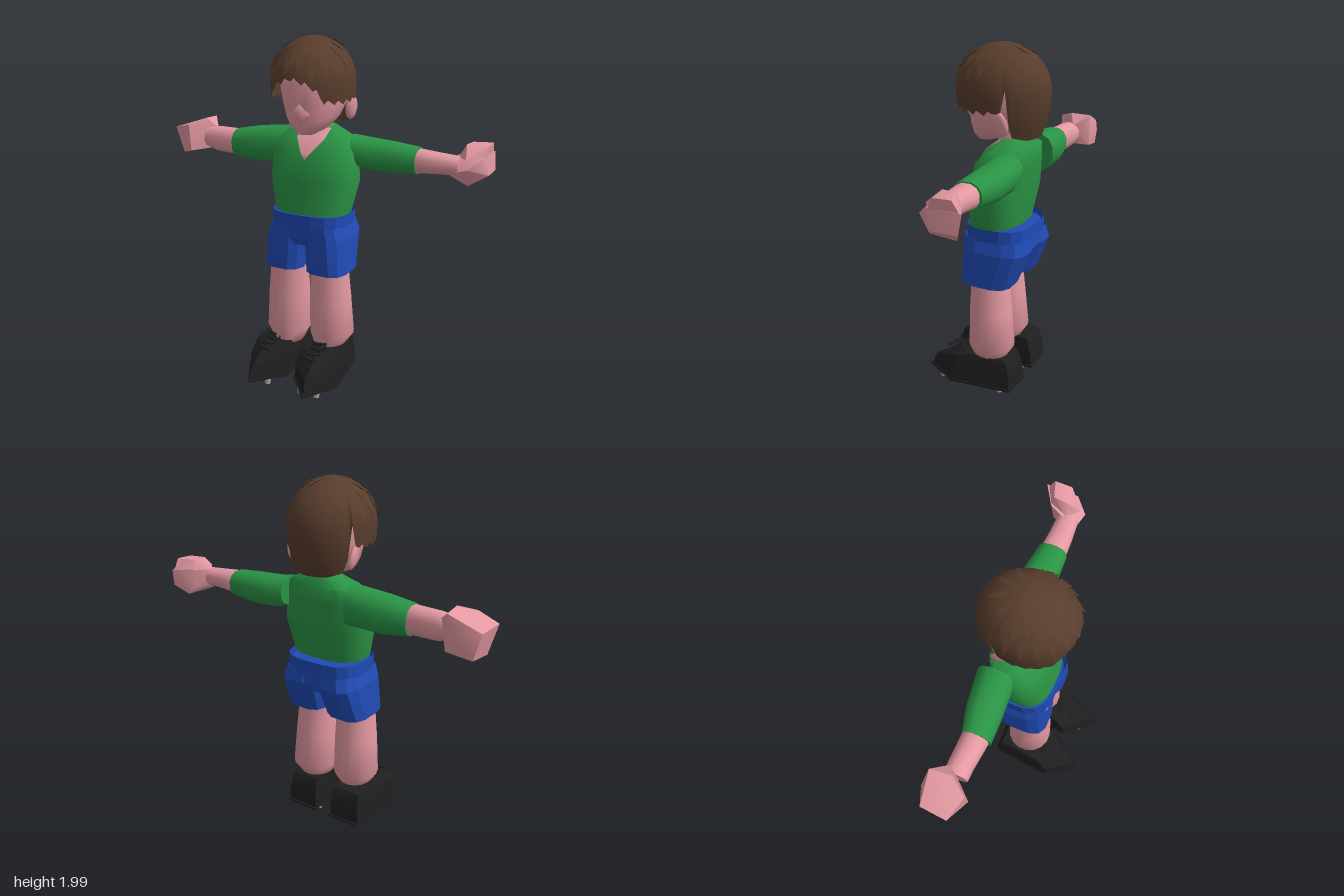
import * as THREE from 'three';
import { toCreasedNormals } from 'three/addons/utils/BufferGeometryUtils.js';
import { ConvexGeometry } from 'three/addons/geometries/ConvexGeometry.js';

const V = (x, y, z) => new THREE.Vector3(x, y, z);
const lerp = THREE.MathUtils.lerp;

function material(name, color) {
  const m = new THREE.MeshStandardMaterial({ color, side: THREE.DoubleSide });
  m.name = name;
  return m;
}

// Skins a list of closed rings of equal point count
function loft(rings, { crease = 1, bottom = true, top = true } = {}) {
  const n = rings[0].length, pos = [], idx = [];
  rings.forEach(r => r.forEach(p => pos.push(p.x, p.y, p.z)));
  for (let i = 0; i < rings.length - 1; i++) {
    for (let j = 0; j < n; j++) {
      const a = i * n + j, b = i * n + (j + 1) % n;
      idx.push(a, a + n, b, b, a + n, b + n);
    }
  }
  const cap = (row, flip) => {
    const c = V(0, 0, 0);
    rings[row].forEach(p => c.addScaledVector(p, 1 / n));
    const ci = pos.length / 3;
    pos.push(c.x, c.y, c.z);
    for (let j = 0; j < n; j++) {
      const a = row * n + j, b = row * n + (j + 1) % n;
      idx.push(ci, flip ? b : a, flip ? a : b);
    }
  };
  if (bottom) cap(0, false);
  if (top) cap(rings.length - 1, true);
  const g = new THREE.BufferGeometry();
  g.setAttribute('position', new THREE.Float32BufferAttribute(pos, 3));
  g.setIndex(idx);
  return toCreasedNormals(g, crease);
}

// Superellipse between two ranges, as pairs of coordinates
function oval(a0, a1, b0, b1, n, e) {
  const pw = v => Math.sign(v) * Math.abs(v) ** (2 / e);
  return Array.from({ length: n }, (_, j) => {
    const t = ((j + 0.5) / n) * Math.PI * 2;
    return [(a0 + a1) / 2 + (a1 - a0) / 2 * pw(Math.cos(t)), (b0 + b1) / 2 + (b1 - b0) / 2 * pw(Math.sin(t))];
  });
}
// Rows are [y, x0, x1, z0, z1]
const upright = (rows, n, e, opt) =>
  loft(rows.map(([y, ...r]) => oval(...r, n, e).map(([x, z]) => V(x, y, z))), opt);
// Rows are [x, z0, z1, y0, y1], in ascending x
const sideways = (rows, n, e, opt) =>
  loft(rows.map(([x, ...r]) => oval(...r, n, e).map(([z, y]) => V(x, y, z))), opt);
// Softly shaded convex lump through a few points
const lump = (pts, crease = 0.8) => toCreasedNormals(new ConvexGeometry(pts.map(p => V(...p))), crease);

// Piecewise linear lookup in rows keyed by their first number
function lookup(rows, t) {
  let i = 0;
  while (i < rows.length - 2 && t > rows[i + 1][0]) i++;
  const a = rows[i], b = rows[i + 1], k = (t - a[0]) / (b[0] - a[0]);
  return a.map((v, c) => lerp(v, b[c], k));
}

export function createModel() {
  const root = new THREE.Group();
  const skin = material('skin', 0xe499a2), green = material('shirt green', 0x2a9445);
  const blue = material('shorts blue', 0x204bb5), brown = material('hair brown', 0x583d2c);
  const black = material('shoe black', 0x1f1f1f), grey = material('stud grey', 0xb4b4b4);
  const add = (name, geo, mat, parent = root) => {
    const m = new THREE.Mesh(geo, mat);
    m.name = name;
    parent.add(m);
    return m;
  };

  // Shirt body
  const torso = [
    [1.02, -0.205, 0.235, -0.21, 0.085], [1.2, -0.25, 0.275, -0.24, 0.065],
    [1.36, -0.24, 0.255, -0.25, 0.045], [1.44, -0.2, 0.215, -0.255, -0.02],
    [1.5, -0.08, 0.1, -0.21, -0.1],
  ];
  add('shirt', upright(torso, 24, 2.6, { crease: 0.9 }), green);

  // Open V of the collar, laid over the chest
  const vRows = [1.33, 1.36, 1.4, 1.44, 1.49].map(y => {
    const [, x0, x1, z0, z1] = lookup(torso, y);
    const half = 0.085 * Math.min(1, (y - 1.327) / 0.11);
    return [-1, 0, 1].map(s => {
      const x = 0.02 + s * half, d = Math.abs((x - (x0 + x1) / 2) / ((x1 - x0) / 2));
      const z = (z0 + z1) / 2 + (z1 - z0) / 2 * (1 - Math.min(1, d) ** 2.6) ** (1 / 2.6);
      return V(x, y, z + 0.008);
    });
  });
  const vPos = vRows.flat().flatMap(p => [p.x, p.y, p.z]), vIdx = [];
  for (let i = 0; i < 4; i++) for (let j = 0; j < 2; j++) {
    const a = i * 3 + j;
    vIdx.push(a, a + 1, a + 3, a + 1, a + 4, a + 3);
  }
  const vGeo = new THREE.BufferGeometry();
  vGeo.setAttribute('position', new THREE.Float32BufferAttribute(vPos, 3));
  vGeo.setIndex(vIdx);
  vGeo.computeVertexNormals();
  add('collarOpening', vGeo, skin);

  // Neck and head
  add('neck', upright([[1.42, -0.075, 0.1, -0.21, -0.05], [1.56, -0.06, 0.085, -0.2, -0.04]], 12, 2), skin);
  const head = new THREE.Group();
  head.name = 'head';
  root.add(head);
  add('face', upright([
    [1.47, -0.03, 0.06, -0.02, 0.07], [1.505, -0.085, 0.115, -0.13, 0.09], [1.56, -0.125, 0.155, -0.21, 0.1],
    [1.64, -0.155, 0.185, -0.26, 0.105], [1.74, -0.175, 0.195, -0.28, 0.11],
    [1.86, -0.16, 0.18, -0.26, 0.08], [1.94, -0.08, 0.1, -0.18, 0],
  ], 20, 2.3), skin, head);
  add('nose', lump([
    [0.015, 1.61, 0.15], [-0.05, 1.585, 0.085], [0.08, 1.585, 0.085], [0.015, 1.53, 0.09], [0.015, 1.65, 0.09],
  ], 3), skin, head);
  for (const s of [-1, 1]) {
    const ear = add('ear', new THREE.SphereGeometry(1, 10, 8), skin, head);
    ear.scale.set(0.02, 0.07, 0.048);
    ear.position.set(0.012 + s * 0.192, 1.605, -0.145);
    ear.rotation.set(0.3, s * -0.25, s * -0.12);
  }

  // Hair shell: the hem height depends on the angle away from the front
  const hem = [[0, 1.77], [0.35, 1.745], [0.6, 1.71], [0.75, 1.65], [1.2, 1.64], [1.75, 1.645], [1.95, 1.67],
    [2.02, 1.8], [2.12, 1.53], [2.6, 1.505], [3.15, 1.505]];
  const onHair = (a, phi, lift = 0) => V(
    0.01 + (0.228 + lift) * Math.sin(phi) * Math.cos(a),
    1.74 + ((phi < Math.PI / 2 ? 0.25 : 0.4) + lift) * Math.cos(phi),
    -0.068 + (0.262 + lift) * Math.sin(phi) * Math.sin(a));
  const cols = 72, rows = 12;
  const ring = r => Array.from({ length: cols }, (_, j) => {
    const a = j / cols * Math.PI * 2;
    const d = Math.acos(Math.sin(a));
    const y = lookup(hem, d)[1] + (d < 1.9 ? (j % 3) * 0.012 : 0) - 1.74;
    return onHair(a, lerp(Math.acos(y / (y > 0 ? 0.25 : 0.4)), 0.04, r / rows));
  });
  add('hair', loft(Array.from({ length: rows + 1 }, (_, r) => ring(r)), { bottom: false }), brown, head);

  // Pointed locks lying along the shell
  const lock = (a, start, end, w) => {
    const mid = (start + end) / 2;
    add('hairLock', lump([start, mid, end].flatMap((phi, k) => {
      const half = [w * 0.5, w, 0][k];
      return [-half, half].map(o => onHair(a + o, phi, [-0.004, 0.006, 0.016][k]).toArray());
    }).concat([onHair(a, mid, -0.012).toArray()])), brown, head);
  };
  for (let i = 0; i < 11; i++) {
    const a = Math.PI * (i / 10);
    lock(a, 0.3 + (i % 3) * 0.12, 0.85 + (i % 3) * 0.14, 0.13);
    lock(a + 0.13, 0.75 + (i % 2) * 0.1, 1.3 + (i % 4) * 0.07, 0.09);
  }
  for (let i = 0; i < 4; i++) lock(Math.PI * (1.2 + i * 0.2), 0.15, 0.7 + (i % 2) * 0.1, 0.16);

  // Arms: sleeve, forearm and fist
  add('rightSleeve', sideways([
    [-0.54, -0.22, -0.06, 1.255, 1.425], [-0.4, -0.255, -0.06, 1.24, 1.45], [-0.2, -0.275, -0.07, 1.25, 1.47],
  ], 12, 2.3), green);
  add('rightForearm', sideways([[-0.76, -0.22, -0.09, 1.29, 1.41], [-0.7, -0.22, -0.09, 1.27, 1.42],
    [-0.52, -0.215, -0.07, 1.265, 1.42]], 12, 2.3), skin);
  add('rightFist', lump([
    [-0.98, 1.4, -0.1], [-0.965, 1.39, -0.25], [-0.94, 1.24, -0.12], [-0.93, 1.25, -0.26],
    [-0.78, 1.465, -0.15], [-0.79, 1.46, -0.27], [-0.72, 1.4, -0.19], [-0.75, 1.28, -0.17],
    [-0.85, 1.43, -0.06], [-0.84, 1.27, -0.06], [-0.79, 1.27, -0.27], [-0.86, 1.36, -0.295],
  ]), skin);
  add('leftSleeve', sideways([
    [0.2, -0.28, -0.07, 1.29, 1.45], [0.28, -0.29, -0.08, 1.265, 1.44], [0.44, -0.28, -0.085, 1.255, 1.43],
    [0.6, -0.255, -0.09, 1.27, 1.415],
  ], 12, 2.3), green);
  add('leftForearm', sideways([[0.58, -0.245, -0.095, 1.275, 1.41], [0.7, -0.235, -0.1, 1.285, 1.4],
    [0.83, -0.23, -0.11, 1.29, 1.39]], 12, 2.3), skin);
  add('leftFist', lump([
    [0.77, 1.3, -0.13], [0.8, 1.39, -0.2], [0.88, 1.245, -0.14], [0.9, 1.245, -0.29], [0.89, 1.34, -0.09],
    [0.975, 1.3, -0.19], [0.97, 1.3, -0.335], [0.96, 1.4, -0.35], [0.95, 1.4, -0.16], [0.84, 1.4, -0.28],
    [0.83, 1.3, -0.26],
  ]), skin);
  add('leftThumb', lump([
    [0.81, 1.38, -0.18], [0.85, 1.455, -0.19], [0.86, 1.455, -0.27], [0.96, 1.455, -0.3], [0.96, 1.45, -0.2],
    [0.95, 1.38, -0.17], [0.87, 1.39, -0.115], [0.85, 1.39, -0.285], [0.955, 1.39, -0.34],
  ]), skin);

  // Shorts: waistband, hips and two flared legs
  const facet = { crease: 0.15, top: false, bottom: false };
  add('waistLining', upright([[0.96, -0.21, 0.22, -0.26, 0.09], [0.995, -0.21, 0.22, -0.26, 0.09]], 16, 2.8), blue);
  add('waistband', upright([[0.945, -0.222, 0.232, -0.275, 0.1], [1.02, -0.222, 0.232, -0.275, 0.1]], 16, 3, facet), blue);
  add('hips', upright([[0.84, -0.2, 0.21, -0.255, 0.08], [0.88, -0.22, 0.23, -0.275, 0.097],
    [0.96, -0.212, 0.222, -0.268, 0.097]], 16, 3, { crease: 0.15 }), blue);
  for (const s of [-1, 1]) {
    const side = s < 0 ? 'right' : 'left';
    const span = (inner, outer) => [inner, outer].map(v => 0.005 + s * v).sort((a, b) => a - b);
    add(side + 'ShortsLeg', upright([
      [0.68, ...span(0.012, 0.257), -0.205, 0.1], [0.88, ...span(-0.005, 0.242), -0.285, 0.1],
      [0.955, ...span(-0.005, 0.218), -0.268, 0.098],
    ], 12, 3.2, facet), blue);

    // Bare leg
    const dz = s < 0 ? 0.035 : 0;
    add(side + 'Leg', upright([
      [0.2, ...span(0.04, 0.21), -0.15 + dz, 0.045 + dz], [0.28, ...span(0.005, 0.265), -0.2 + dz, 0.065 + dz],
      [0.5, ...span(0.005, 0.25), -0.18 + dz, 0.065 + dz], [0.78, ...span(0.015, 0.225), -0.15 + dz, 0.05 + dz],
    ], 16, 2, { crease: 1.3 }), skin);

    // Shoe, drawn for the right foot and mirrored for the left
    const shoe = new THREE.Group();
    shoe.name = side + 'Shoe';
    root.add(shoe);
    const fx = x => s < 0 ? x : -0.04 - x;
    const outline = (y, pts) => {
      const r = pts.map(([x, z]) => V(fx(x), y, z));
      return s < 0 ? r : r.reverse();
    };
    const sole = [[-0.04, 0.16], [-0.2, 0.345], [-0.315, 0.15], [-0.27, -0.225], [-0.07, -0.23]];
    const inset = sole.map(([x, z]) => [lerp(x, -0.18, 0.05), lerp(z, 0.03, 0.04)]);
    add('sole', loft([outline(0.033, sole), outline(0.045, sole)], { crease: 0.1 }), black, shoe);
    add('upper', loft([
      outline(0.045, inset),
      outline(0.12, [[-0.05, 0.15], [-0.195, 0.3], [-0.3, 0.14], [-0.262, -0.215], [-0.075, -0.215]]),
      outline(0.2, [[-0.06, 0.1], [-0.185, 0.17], [-0.285, 0.09], [-0.255, -0.195], [-0.082, -0.195]]),
      outline(0.22, [[-0.065, 0.06], [-0.18, 0.13], [-0.275, 0.05], [-0.25, -0.18], [-0.085, -0.18]]),
    ], { crease: 0.5 }), black, shoe);

    // Laces with a small bow
    for (let i = 0; i < 4; i++) {
      const lace = add('lace', new THREE.BoxGeometry(0.08, 0.012, 0.018), black, shoe);
      lace.position.set(fx(-0.17), 0.205 + i * 0.013, 0.2 - i * 0.042);
      lace.rotation.y = (i % 2 ? 1 : -1) * 0.3;
    }
    for (const b of [-1, 1]) {
      const bow = add('bow', new THREE.TorusGeometry(0.018, 0.005, 5, 10), black, shoe);
      bow.position.set(fx(-0.17 + b * 0.022), 0.238, 0.085);
    }

    // Studs under the sole
    for (const [x, z] of [[-0.235, 0.235], [-0.13, 0.235], [-0.25, 0.11], [-0.1, 0.11], [-0.235, -0.145], [-0.1, -0.145]]) {
      add('stud', new THREE.CylinderGeometry(0.021, 0.016, 0.035, 8), grey, shoe).position.set(fx(x), 0.0175, z);
    }
  }
  return root;
}
